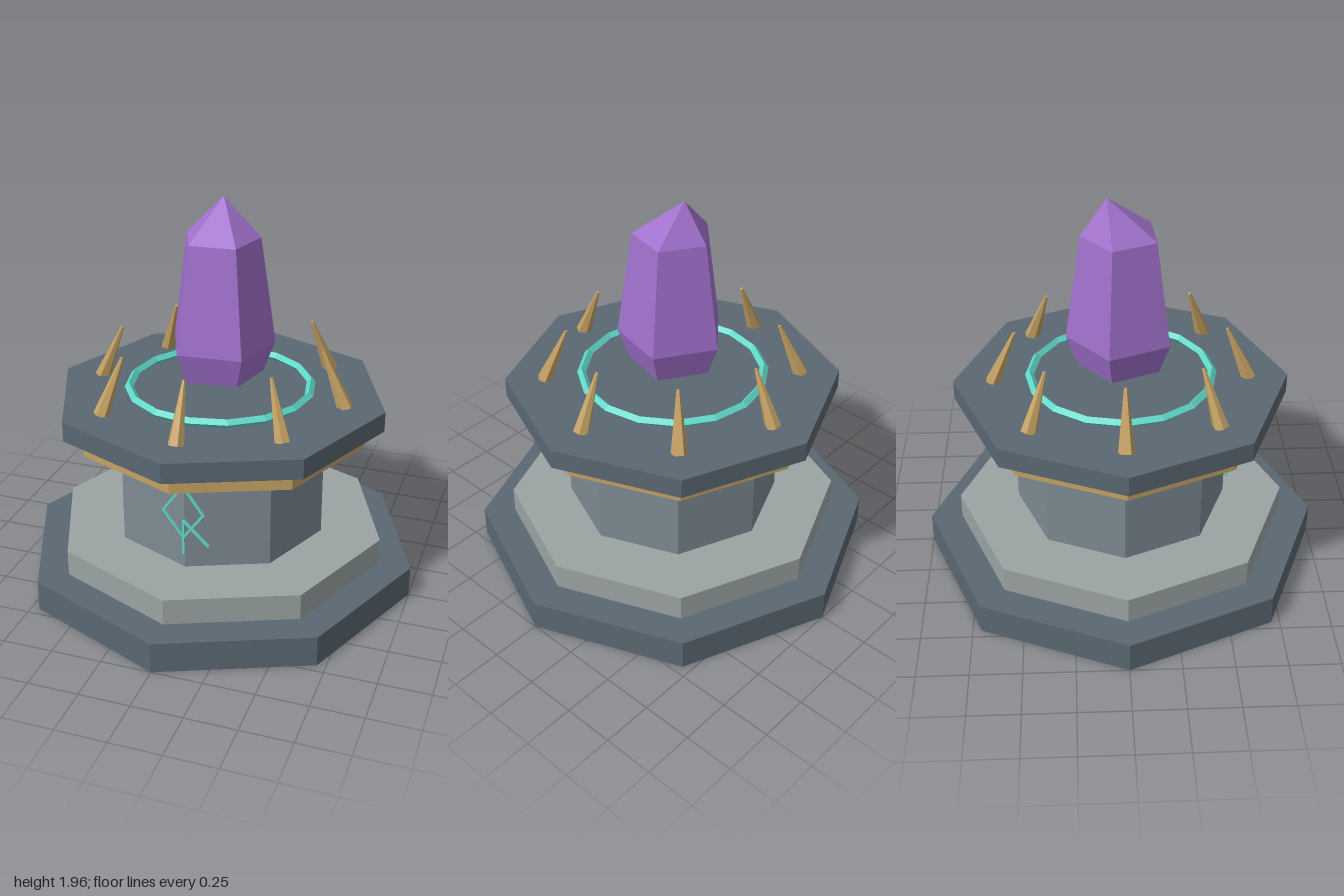
import * as THREE from 'three';

const mat = (color) => new THREE.MeshStandardMaterial({ color, flatShading: true });

export function createModel() {
  const model = new THREE.Group();
  model.name = 'crystalAltar';
  const slate = mat(0x5a6872), paleStone = mat(0x9ba3a3), stone = mat(0x7d8a92);
  const gold = mat(0xc4a163), teal = mat(0x5fd8c8), violet = mat(0xa070cc);

  const add = (name, geometry, material, parent = model) => {
    const mesh = new THREE.Mesh(geometry, material);
    mesh.name = name;
    parent.add(mesh);
    return mesh;
  };

  // Stacked octagonal tiers: name, radius, bottom, top, material
  const tiers = [
    ['base', 1, 0, 0.155, slate],
    ['step', 0.838, 0.155, 0.287, paleStone],
    ['column', 0.535, 0.287, 0.79, stone],
    ['goldCollar', 0.73, 0.79, 0.89, gold],
    ['topSlab', 0.827, 0.89, 0.99, slate],
  ];
  for (const [name, r, y0, y1, material] of tiers) {
    add(name, new THREE.CylinderGeometry(r, r, y1 - y0, 8), material).position.y = (y0 + y1) / 2;
  }

  // Glowing ring with a diamond section
  const ring = add('ring', new THREE.TorusGeometry(0.45, 0.022, 4, 16), teal);
  ring.rotation.x = Math.PI / 2;
  ring.position.y = 1.022;

  // Inward-leaning spikes around the slab
  const spikes = new THREE.Group();
  spikes.name = 'spikes';
  model.add(spikes);
  const spikeGeo = new THREE.CylinderGeometry(0.008, 0.04, 0.3, 6, 1, false, Math.PI / 6);
  spikeGeo.rotateX(-0.4);
  spikeGeo.translate(0, 1.122, 0.573);
  for (let i = 0; i < 8; i++) {
    add('spike', spikeGeo, gold, spikes).rotation.y = (i * Math.PI) / 4;
  }

  // Five-sided crystal, its tip pushed slightly to the back
  const profile = [[0, 1.09], [0.212, 1.09], [0.268, 1.245], [0.192, 1.77], [0, 1.955]]
    .map(([x, y]) => new THREE.Vector2(x, y));
  const crystalGeo = new THREE.LatheGeometry(profile, 5, THREE.MathUtils.degToRad(40));
  const p = crystalGeo.attributes.position;
  for (let i = 0; i < p.count; i++) {
    if (p.getY(i) > 1.9) p.setXYZ(i, -0.005, 1.955, -0.065);
  }
  crystalGeo.computeVertexNormals();
  add('crystal', crystalGeo, violet);

  // Rune of thin bars in front of the column
  const rune = new THREE.Group();
  rune.name = 'rune';
  rune.position.z = 0.549;
  model.add(rune);
  const strokes = [
    [0, 0.733, -0.1, 0.595], [0, 0.733, 0.1, 0.595],
    [-0.1, 0.595, 0, 0.46], [0.1, 0.595, 0, 0.46],
    [0, 0.55, 0, 0.37], [0, 0.55, 0.125, 0.43],
  ];
  for (const [x0, y0, x1, y1] of strokes) {
    const length = Math.hypot(x1 - x0, y1 - y0);
    const bar = add('runeBar', new THREE.BoxGeometry(0.011, length, 0.012), teal, rune);
    bar.position.set((x0 + x1) / 2, (y0 + y1) / 2, 0);
    bar.rotation.z = Math.atan2(x0 - x1, y1 - y0);
  }

  return model;
}
